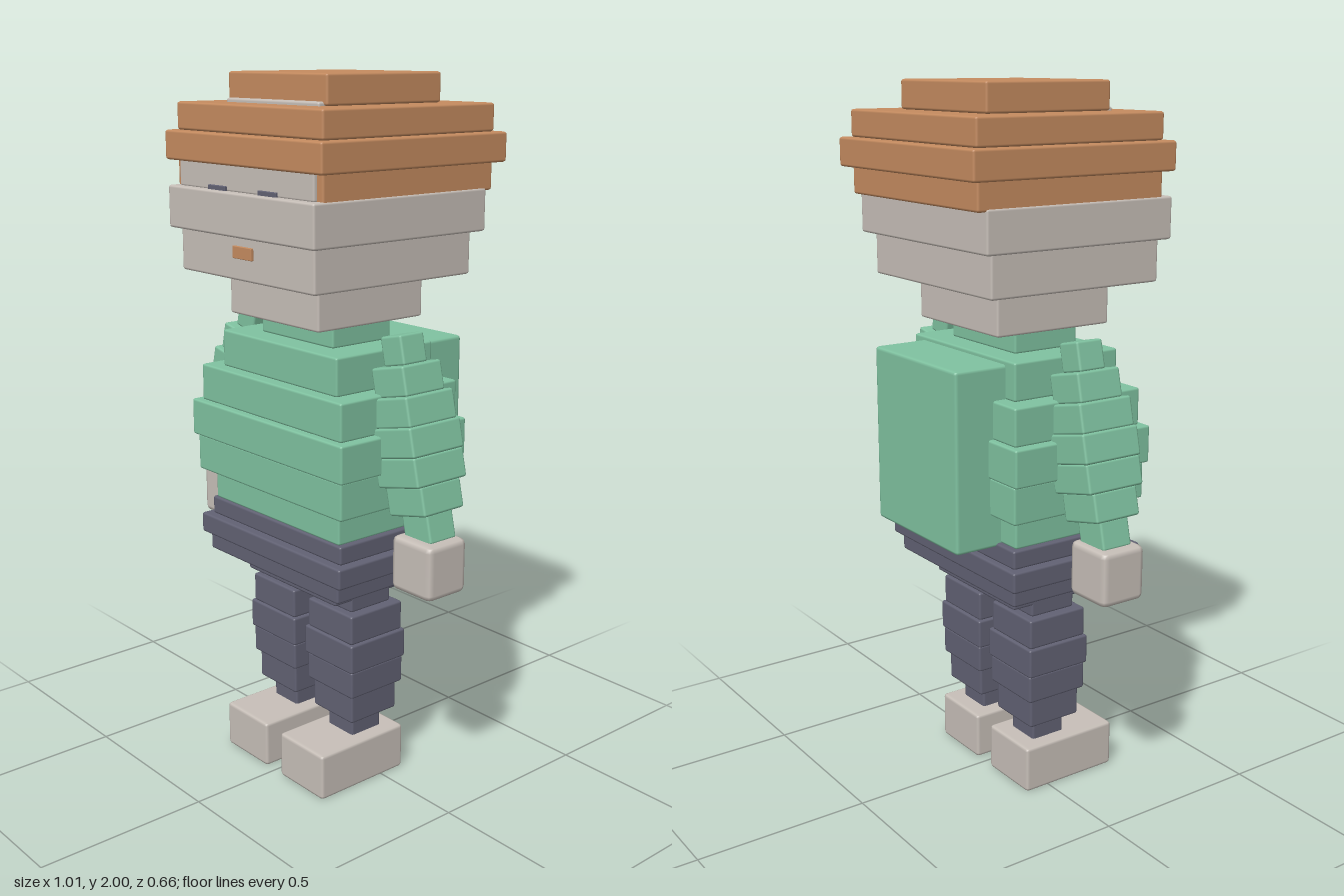
import * as THREE from 'three';
import { RoundedBoxGeometry } from 'three/addons/geometries/RoundedBoxGeometry.js';

const mat = (name, color) => {
  const m = new THREE.MeshStandardMaterial({ color });
  m.name = name;
  return m;
};

export function createModel() {
  const hair = mat('hair brown', 0xc68c60);
  const skin = mat('pale grey', 0xc8c0b9);
  const cloth = mat('jacket green', 0x80c3a1);
  const denim = mat('trouser slate', 0x626274);

  const model = new THREE.Group();
  model.name = 'blockFigure';
  const group = (name, parent = model) => {
    const g = new THREE.Group();
    g.name = name;
    parent.add(g);
    return g;
  };

  // Softly bevelled block given by its limits
  const block = (parent, name, material, [x0, x1], [y0, y1], [z0, z1], bevel = 0.007) => {
    const geo = new RoundedBoxGeometry(x1 - x0, y1 - y0, z1 - z0, 1, bevel);
    const mesh = new THREE.Mesh(geo, material);
    mesh.position.set((x0 + x1) / 2, (y0 + y1) / 2, (z0 + z1) / 2);
    mesh.name = name;
    parent.add(mesh);
    return mesh;
  };

  // Stack of centred slabs: [halfWidth, y0, y1, zBack, zFront]
  const stack = (name, material, rows, cx = 0, parent = model) => {
    const g = group(name, parent);
    rows.forEach(([w, y0, y1, z0, z1], i) =>
      block(g, `${name}Layer${i + 1}`, material, [cx - w, cx + w], [y0, y1], [z0, z1]));
    return g;
  };

  stack('hair', hair, [
    [0.31, 1.69, 1.77, -0.3, 0.295],
    [0.335, 1.765, 1.845, -0.328, 0.32],
    [0.31, 1.845, 1.92, -0.303, 0.295],
    [0.207, 1.92, 2.0, -0.203, 0.195],
  ]);

  stack('head', skin, [
    [0.192, 1.345, 1.468, -0.16, 0.213],
    [0.288, 1.465, 1.585, -0.245, 0.305],
    [0.314, 1.582, 1.698, -0.275, 0.328],
    [0.288, 1.695, 1.81, -0.25, 0.306],
    [0.195, 1.81, 1.931, -0.16, 0.212],
  ]);

  // Face details
  const face = group('face');
  block(face, 'mouth', hair, [-0.042, 0.04], [1.525, 1.558], [0.304, 0.313], 0.002);
  for (const s of [-1, 1])
    block(face, s > 0 ? 'leftEye' : 'rightEye', denim,
      [s * 0.108 - 0.038, s * 0.108 + 0.038], [1.67, 1.71], [0.304, 0.313], 0.002);

  stack('torso', cloth, [
    [0.277, 0.78, 0.867, -0.16, 0.215],
    [0.32, 0.865, 0.972, -0.195, 0.245],
    [0.333, 0.97, 1.077, -0.2, 0.255],
    [0.308, 1.075, 1.182, -0.185, 0.235],
    [0.25, 1.18, 1.287, -0.145, 0.2],
    [0.155, 1.285, 1.345, -0.077, 0.132],
  ]);
  block(model, 'backpack', cloth, [-0.207, 0.207], [0.77, 1.275], [-0.303, -0.12], 0.01);

  stack('hips', denim, [
    [0.198, 0.565, 0.622, -0.11, 0.16],
    [0.29, 0.62, 0.672, -0.175, 0.23],
    [0.314, 0.67, 0.73, -0.192, 0.245],
    [0.29, 0.728, 0.782, -0.175, 0.22],
  ]);

  // Arm segments: [width, depth], shoulder to wrist
  const armRows = [
    [0.08, 0.085], [0.125, 0.14], [0.153, 0.172], [0.163, 0.184],
    [0.157, 0.18], [0.14, 0.145], [0.1, 0.095],
  ];
  for (const s of [-1, 1]) {
    const side = s > 0 ? 'left' : 'right';

    // Sleeve tilts outward from the shoulder
    const arm = group(`${side}Arm`);
    arm.position.set(s * 0.308, 1.337, 0.025);
    arm.rotation.z = s * 0.227;
    armRows.forEach(([w, d], i) =>
      block(arm, `${side}ArmSegment${i + 1}`, cloth,
        [-w / 2, w / 2], [-0.079 * (i + 1) - 0.002, -0.079 * i], [-d / 2, d / 2]));

    const hx = s * 0.431;
    block(model, `${side}Hand`, skin, [hx - 0.075, hx + 0.075], [0.655, 0.81], [-0.04, 0.1], 0.018);

    stack(`${side}Leg`, denim, [
      [0.053, 0.125, 0.197, -0.028, 0.08],
      [0.085, 0.195, 0.282, -0.06, 0.11],
      [0.098, 0.28, 0.362, -0.073, 0.122],
      [0.104, 0.36, 0.447, -0.077, 0.128],
      [0.096, 0.445, 0.532, -0.07, 0.122],
      [0.07, 0.53, 0.62, -0.047, 0.1],
    ], s * 0.128);

    const fx = s * 0.128;
    block(model, `${side}Shoe`, skin, [fx - 0.096, fx + 0.096], [0, 0.137], [-0.08, 0.23], 0.01);
  }

  return model;
}
